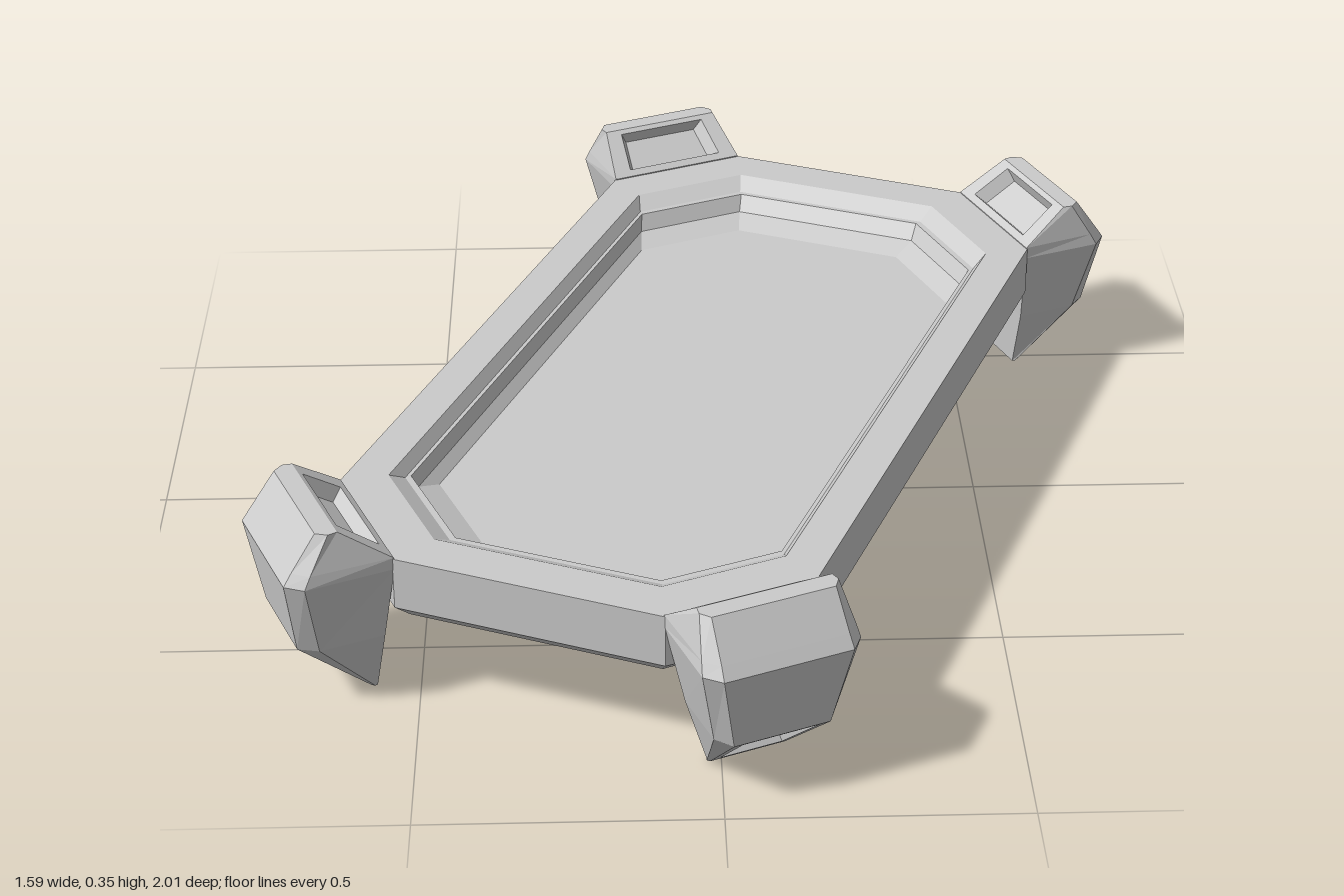
import * as THREE from 'three';

const material = new THREE.MeshStandardMaterial({ color: 0xcccccc, flatShading: true });

// Adds a four-cornered face, corners counter-clockwise from outside
function quad(out, a, b, c, d) {
  for (const p of [a, b, c, a, c, d]) out.push(p.x, p.y, p.z);
}

// Adds a face with a sunken panel; u and v0/v1 are the frame margins
function recessedQuad(out, a, b, c, d, { u, v0, v1, depth, taper }) {
  const at = (s, t) => a.clone().lerp(b, s).lerp(d.clone().lerp(c, s), t);
  const rim = [at(u, v0), at(1 - u, v0), at(1 - u, 1 - v1), at(u, 1 - v1)];
  const normal = b.clone().sub(a).cross(d.clone().sub(a)).normalize();
  const centre = at(0.5, 0.5);
  const floor = rim.map(p => p.clone().lerp(centre, taper).addScaledVector(normal, -depth));
  const edge = [a, b, c, d];
  for (let i = 0; i < 4; i++) {
    const j = (i + 1) % 4;
    quad(out, edge[i], edge[j], rim[j], rim[i]);
    quad(out, rim[i], rim[j], floor[j], floor[i]);
  }
  quad(out, ...floor);
}

// Skins a stack of rings and caps both ends; recesses are keyed "level,side"
function loft(name, rings, recesses = {}) {
  const out = [];
  const n = rings[0].length;
  for (let k = 0; k < rings.length - 1; k++) {
    for (let i = 0; i < n; i++) {
      const j = (i + 1) % n;
      const corners = [rings[k][i], rings[k][j], rings[k + 1][j], rings[k + 1][i]];
      const recess = recesses[`${k},${i}`];
      if (recess) recessedQuad(out, ...corners, recess);
      else quad(out, ...corners);
    }
  }
  const first = rings[0], last = rings[rings.length - 1];
  for (let i = 1; i < n - 1; i++) {
    for (const p of [first[0], first[i + 1], first[i], last[0], last[i], last[i + 1]]) {
      out.push(p.x, p.y, p.z);
    }
  }
  const geometry = new THREE.BufferGeometry();
  geometry.setAttribute('position', new THREE.Float32BufferAttribute(out, 3));
  geometry.computeVertexNormals();
  const mesh = new THREE.Mesh(geometry, material);
  mesh.name = name;
  return mesh;
}

// Rectangle with cut corners, counter-clockwise from above
function octagon(w, l, cut, y) {
  return [
    [w, l - cut], [w, cut - l], [w - cut, -l], [cut - w, -l],
    [-w, cut - l], [-w, l - cut], [cut - w, l], [w - cut, l],
  ].map(([x, z]) => new THREE.Vector3(x, y, z));
}

// Tray: underside bevel, side, rim, then steps down to the sunken floor
function createTray() {
  return loft('tray', [
    octagon(0.405, 0.79, 0.18, 0.165),
    octagon(0.43, 0.815, 0.19, 0.19),
    octagon(0.43, 0.815, 0.19, 0.285),
    octagon(0.36, 0.735, 0.158, 0.285),
    octagon(0.345, 0.7, 0.155, 0.265),
    octagon(0.338, 0.69, 0.154, 0.265),
    octagon(0.333, 0.672, 0.152, 0.235),
    octagon(0.315, 0.625, 0.15, 0.218),
  ]);
}

// Foot: six-sided sections, outward along +z
function createFoot(name) {
  // y, then distance outward and half width of the inner, middle and outer corners
  const levels = [
    [0, 0.017, 0.07, 0.022, 0.072, 0.027, 0.068],
    [0.12, 0.01, 0.105, 0.125, 0.106, 0.157, 0.085],
    [0.265, -0.003, 0.135, 0.152, 0.138, 0.18, 0.113],
    [0.287, -0.003, 0.135, 0.14, 0.134, 0.165, 0.111],
    [0.35, 0.085, 0.118, 0.102, 0.121, 0.12, 0.108],
  ];
  const rings = levels.map(([y, zi, hi, zm, hm, zo, ho]) =>
    [[hi, zi], [-hi, zi], [-hm, zm], [-ho, zo], [ho, zo], [hm, zm]]
      .map(([x, z]) => new THREE.Vector3(x, y, z)));
  return loft(name, rings, {
    '0,3': { u: 0.1, v0: 0.1, v1: 0.04, depth: 0.02, taper: 0.06 },
    '3,0': { u: 0.13, v0: 0.14, v1: 0.1, depth: 0.025, taper: 0.15 },
  });
}

export function createModel() {
  const model = new THREE.Group();
  model.name = 'footedTray';
  model.add(createTray());

  // One foot on each cut corner
  for (const sx of [-1, 1]) {
    for (const sz of [-1, 1]) {
      const foot = createFoot(`${sz > 0 ? 'front' : 'back'}${sx > 0 ? 'Left' : 'Right'}Foot`);
      foot.position.set(sx * 0.335, 0, sz * 0.72);
      foot.rotation.y = Math.atan2(sx, sz);
      model.add(foot);
    }
  }

  // The whole tray stands turned on the ground
  model.rotation.y = THREE.MathUtils.degToRad(-22.5);
  return model;
}
